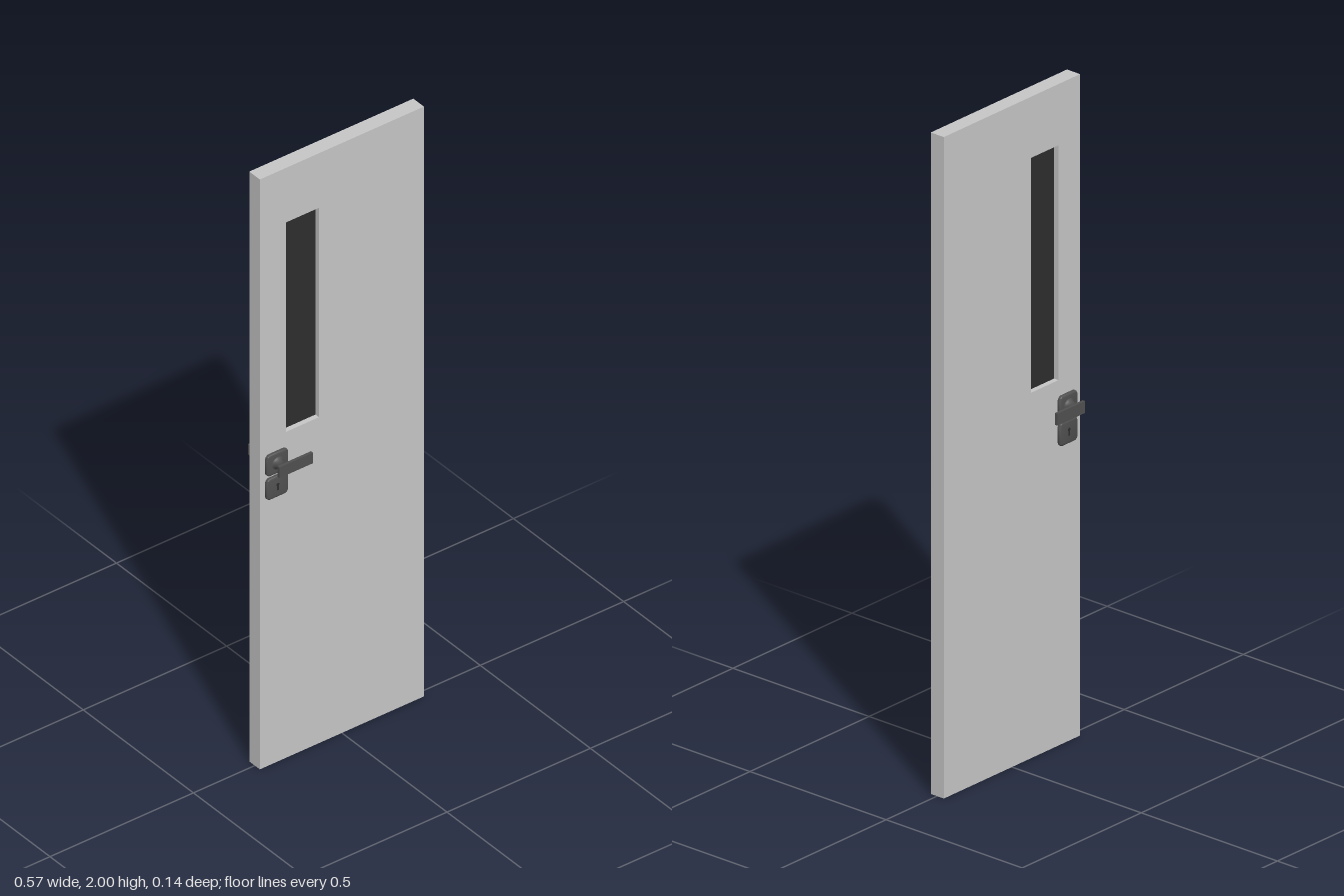
import * as THREE from 'three';
import { toCreasedNormals } from 'three/addons/utils/BufferGeometryUtils.js';

const material = (name, color) => {
  const m = new THREE.MeshStandardMaterial({ color });
  m.name = name;
  return m;
};

function add(parent, name, geometry, mat, x = 0, y = 0, z = 0) {
  const mesh = new THREE.Mesh(geometry, mat);
  mesh.name = name;
  mesh.position.set(x, y, z);
  parent.add(mesh);
  return mesh;
}

// Traces a rectangle, optionally with rounded corners
function rectangle(path, x0, y0, x1, y1, r = 0) {
  if (!r) {
    path.moveTo(x0, y0).lineTo(x1, y0).lineTo(x1, y1).lineTo(x0, y1).closePath();
    return path;
  }
  path.moveTo(x0 + r, y0);
  path.absarc(x1 - r, y0 + r, r, -Math.PI / 2, 0);
  path.absarc(x1 - r, y1 - r, r, 0, Math.PI / 2);
  path.absarc(x0 + r, y1 - r, r, Math.PI / 2, Math.PI);
  path.absarc(x0 + r, y0 + r, r, Math.PI, Math.PI * 1.5);
  path.closePath();
  return path;
}

export function createModel() {
  const model = new THREE.Group();
  model.name = 'door';
  const panelGrey = material('panelGrey', 0xc6c6c6);
  const metal = material('darkMetal', 0x505050);
  const glass = material('darkGlass', 0x2d2d2d);
  const zMid = -0.001, half = 0.024;

  // Door leaf with a through opening for the window
  const leaf = rectangle(new THREE.Shape(), -0.286, 0, 0.286, 2);
  leaf.holes.push(rectangle(new THREE.Path(), -0.195, 1.105, -0.08, 1.815));
  add(model, 'doorLeaf', new THREE.ExtrudeGeometry(leaf, { depth: half * 2, bevelEnabled: false }),
    panelGrey, 0, 0, zMid - half);

  // Window pane set back from both faces
  add(model, 'windowPane', new THREE.BoxGeometry(0.115, 0.71, 0.016), glass, -0.1375, 1.46, zMid);

  // Backplate: rounded square with softened front rim
  const plateShape = rectangle(new THREE.Shape(), -0.033, -0.031, 0.033, 0.031, 0.009);
  const plateGeo = toCreasedNormals(new THREE.ExtrudeGeometry(plateShape, {
    depth: 0.005, bevelThickness: 0.005, bevelSize: 0.005, bevelSegments: 3, curveSegments: 5,
  }), 0.7);

  // Spindle neck, flared at both ends
  const neckProfile = [[0.021, 0], [0.017, 0.003], [0.0145, 0.008], [0.0135, 0.014],
    [0.014, 0.021], [0.016, 0.026], [0.018, 0.03]].map(([r, y]) => new THREE.Vector2(r, y));
  const neckGeo = new THREE.LatheGeometry(neckProfile, 24).rotateX(Math.PI / 2);

  // Keyhole outline: round top over a short slot
  const keyShape = new THREE.Shape();
  keyShape.moveTo(-0.003, -0.012).lineTo(0.003, -0.012).lineTo(0.003, 0.004);
  keyShape.absarc(0, 0.007, 0.005, -0.9, Math.PI + 0.9);
  keyShape.closePath();
  const keyGeo = new THREE.ExtrudeGeometry(keyShape, { depth: 0.001, bevelEnabled: false });

  // One set of hardware on each face, the rear one turned about the x axis
  for (const side of [1, -1]) {
    const set = new THREE.Group();
    set.name = side > 0 ? 'frontHandle' : 'backHandle';
    set.position.set(-0.23, 1.02, zMid);
    if (side < 0) set.rotation.x = Math.PI;
    add(set, 'handlePlate', plateGeo, metal, 0, 0, half - 0.001);
    add(set, 'lockPlate', plateGeo, metal, 0, -0.08 * side, half - 0.001);
    add(set, 'handleNeck', neckGeo, metal, 0, 0, half + 0.0085);
    add(set, 'lever', new THREE.BoxGeometry(0.117, 0.036, 0.009), metal, 0.0345, -0.002 * side, 0.0665);
    const key = add(set, 'keyhole', keyGeo, glass, 0, -0.08 * side, half + 0.0085);
    if (side < 0) key.rotation.z = Math.PI;
    model.add(set);
  }
  return model;
}
